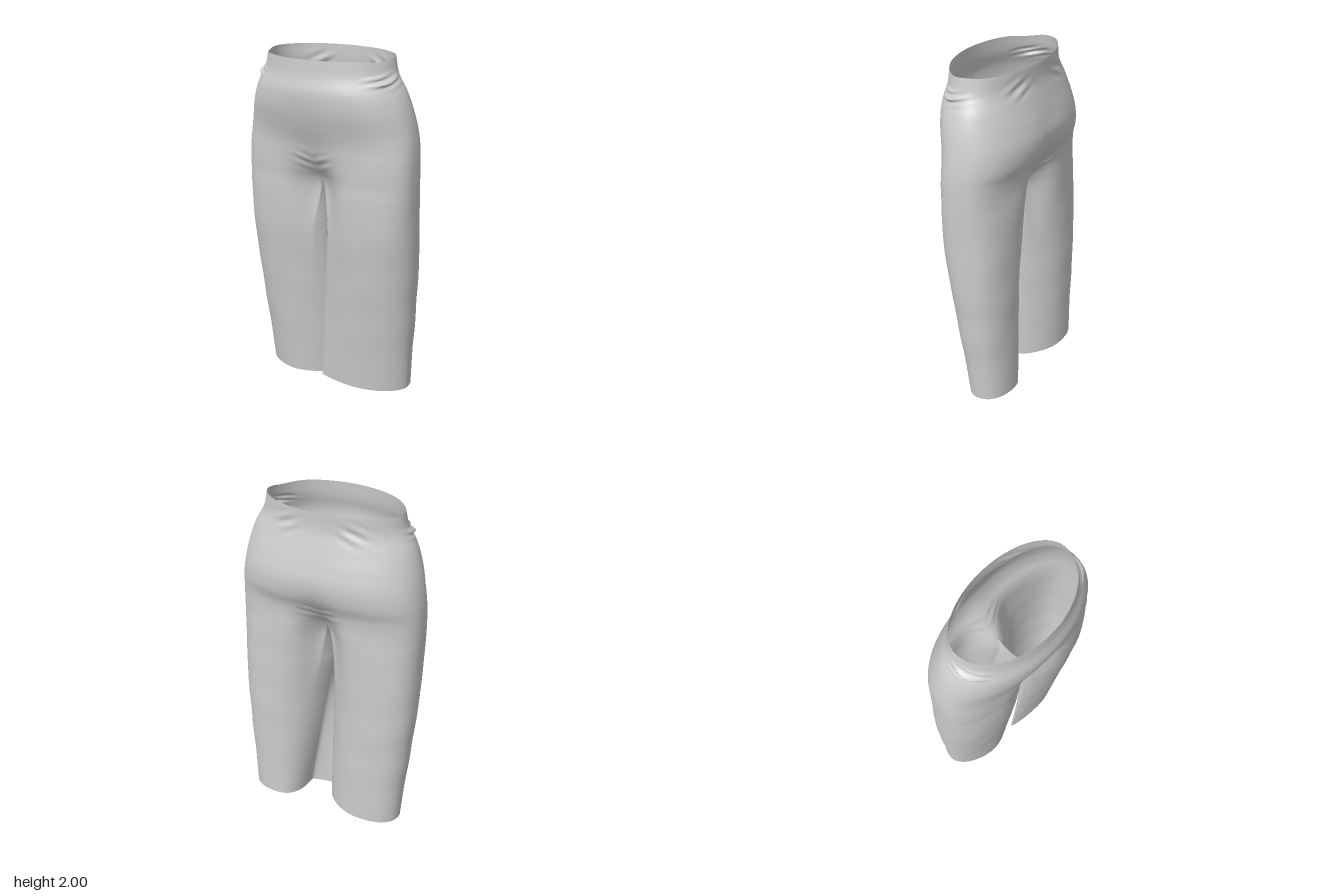
import * as THREE from 'three';
import { mergeGeometries, mergeVertices } from 'three/addons/utils/BufferGeometryUtils.js';

// Cross-sections: height, half width, front depth, back depth,
// squareness, centre groove, blend from hip half to separate leg
const SECTIONS = [
  [0.00, 0.480, 0.060, 0.239, 2.2, 0.30, 1.00],
  [0.20, 0.492, 0.083, 0.237, 2.2, 0.30, 1.00],
  [0.50, 0.517, 0.119, 0.235, 2.3, 0.35, 1.00],
  [0.80, 0.536, 0.157, 0.234, 2.5, 0.50, 0.95],
  [1.00, 0.542, 0.186, 0.238, 2.7, 0.65, 0.70],
  [1.20, 0.548, 0.207, 0.240, 2.8, 0.66, 0.22],
  [1.28, 0.550, 0.211, 0.237, 2.8, 0.52, 0.00],
  [1.35, 0.550, 0.214, 0.236, 2.8, 0.30, 0.00],
  [1.42, 0.549, 0.218, 0.246, 2.7, 0.13, 0.00],
  [1.50, 0.544, 0.228, 0.277, 2.5, 0.05, 0.00],
  [1.60, 0.530, 0.258, 0.290, 2.3, 0.02, 0.00],
  [1.70, 0.508, 0.285, 0.273, 2.15, 0.02, 0.00],
  [1.80, 0.475, 0.291, 0.243, 2.05, 0.00, 0.00],
  [1.90, 0.422, 0.273, 0.218, 2.0, 0.00, 0.00],
  [2.00, 0.400, 0.266, 0.215, 2.0, 0.00, 0.00],
];
const CROTCH = 1.28, OUTER = 96, INNER = 24;
const profile = new THREE.CubicInterpolant(
  SECTIONS.map((s) => s[0]), SECTIONS.flatMap((s) => s.slice(1)), 6, new Float32Array(6));

const { lerp, smoothstep } = THREE.MathUtils;
const bell = (d, width) => Math.exp(-((d / width) ** 2));

// Point on a rounded square in a given direction
function squircle(a, n) {
  const c = Math.cos(a), s = Math.sin(a);
  const r = (Math.abs(c) ** n + Math.abs(s) ** n) ** (-1 / n);
  return [c * r, s * r];
}

// Gathered cloth at the hips and a few soft ripples lower down
function foldDepth(x, y, z) {
  const side = bell(z - 0.09, 0.08) * bell(y - 1.88, 0.03) * smoothstep(x, 0.28, 0.4);
  const gather = side * (0.012 + 0.013 * Math.sin((y + 0.25 * z) * 150));
  const backTuck = z < 0 ? 0.006 * bell(x - 0.2, 0.07) * bell(y - 1.9, 0.05) * Math.sin((y + 0.5 * x) * 90) : 0;
  const crotch = 0.004 * bell(x - 0.06, 0.06) * bell(y - 1.39, 0.05) * Math.sin((y - 0.4 * x) * 110);
  const ripple = 0.002 * Math.sin(y * 17 + x * 9) * Math.sin(x * 14 - y * 5) * bell(y - 0.6, 0.5);
  return gather + backTuck + crotch + ripple;
}

// One point of a half section; columns past OUTER run along the inner leg
function clothPoint(y, col, side) {
  const [W, F, B, n, groove, rawBlend] = profile.evaluate(y);
  const blend = y >= CROTCH ? 0 : Math.min(1, Math.max(0, rawBlend));
  const onInner = col > OUTER;
  const u = onInner ? (col - OUTER) / INNER : col / OUTER;

  // Hip half-section, closed by a straight line between the centre points
  let hx = 0, hz, dip = 0;
  if (onInner) {
    hz = lerp(-B, F, u) * (1 - groove);
    dip = 0.05 * Math.sin(Math.PI * u);
  } else {
    const [cx, cz] = squircle(Math.PI * (0.5 - u), u < 0.5 ? Math.max(2, n - 0.35) : n);
    hx = Math.max(0, W * cx);
    hz = cz * (cz > 0 ? F : B) * (1 - groove * bell(hx, cz > 0 ? 0.14 : 0.11));
  }

  // Separate leg section: pointed inside, slim at the front, full at the back
  const q = onInner ? -Math.PI * (0.8 + 0.4 * u) : Math.PI * (0.8 - 1.6 * u);
  const frontCurve = lerp(1.75, 2.3, Math.min(1, y));
  const [lx, lz] = squircle(q, Math.cos(q) < 0 ? 1.75 : Math.sin(q) > 0 ? frontCurve : 2.5);
  const inward = (1 - lx) / 2, overlap = Math.max(0, 1 - y);
  let legX = 0.004 + W / 2 + (W / 2) * lx;
  let legZ = (F - B) / 2 + ((F + B) / 2) * lz + 0.05 * inward ** 3;
  if (side > 0) { // the left leg folds in behind and laps over the right in front
    legX += overlap * inward ** 3 * lerp(0.15, -0.09, smoothstep(lz, -0.1, 0.4));
    legZ += 0.035 * overlap * inward ** 4;
  } else {
    legZ -= 0.05 * overlap * inward ** 4 * smoothstep(lz, -0.2, 0.5);
  }

  let x = lerp(hx, legX, blend), z = lerp(hz, legZ, blend);
  if (!onInner) {
    const d = foldDepth(x, y, z), len = Math.hypot(x / W, z / 0.25) || 1;
    x += hx > 1e-6 ? (d * x) / W / len : 0;
    z += (d * z) / 0.25 / len;
  }

  // Uneven waist and hem edges
  const s = Math.max(-1, Math.min(1, z / 0.25));
  let py = y - dip * (1 - blend);
  if (y > CROTCH) py -= (0.0125 + 0.0125 * s + 0.012 * bell(z - 0.1, 0.07)) * ((y - CROTCH) / (2 - CROTCH)) ** 4;
  else py += 0.02 * (1 - lz) / 2 * (1 - y / CROTCH) ** 4;
  return [side * x, py, z];
}

// Skin the rows between two heights
function clothPanel(y0, y1, rows, cols, side) {
  const pos = [], index = [];
  for (let r = 0; r <= rows; r++)
    for (let c = 0; c <= cols; c++) pos.push(...clothPoint(lerp(y0, y1, r / rows), c, side));
  for (let r = 0; r < rows; r++)
    for (let c = 0; c < cols; c++) {
      const a = r * (cols + 1) + c, b = a + 1, d = a + cols + 1, e = d + 1;
      if (side > 0) index.push(a, b, e, a, e, d);
      else index.push(a, e, b, a, d, e);
    }
  const g = new THREE.BufferGeometry();
  g.setAttribute('position', new THREE.Float32BufferAttribute(pos, 3));
  g.setIndex(index);
  return g;
}

export function createModel() {
  const group = new THREE.Group();
  group.name = 'trousers';
  const panels = [];
  for (const side of [1, -1]) {
    panels.push(clothPanel(0, CROTCH, 70, OUTER + INNER, side)); // leg
    panels.push(clothPanel(CROTCH, 2, 90, OUTER, side)); // hip and waist
  }
  // Join the panels so the seams shade smoothly
  const cloth = mergeVertices(mergeGeometries(panels), 1e-4);
  cloth.computeVertexNormals();
  const mesh = new THREE.Mesh(cloth,
    new THREE.MeshStandardMaterial({ color: 0xcccccc, side: THREE.DoubleSide }));
  mesh.name = 'trouserCloth';
  group.add(mesh);
  return group;
}
